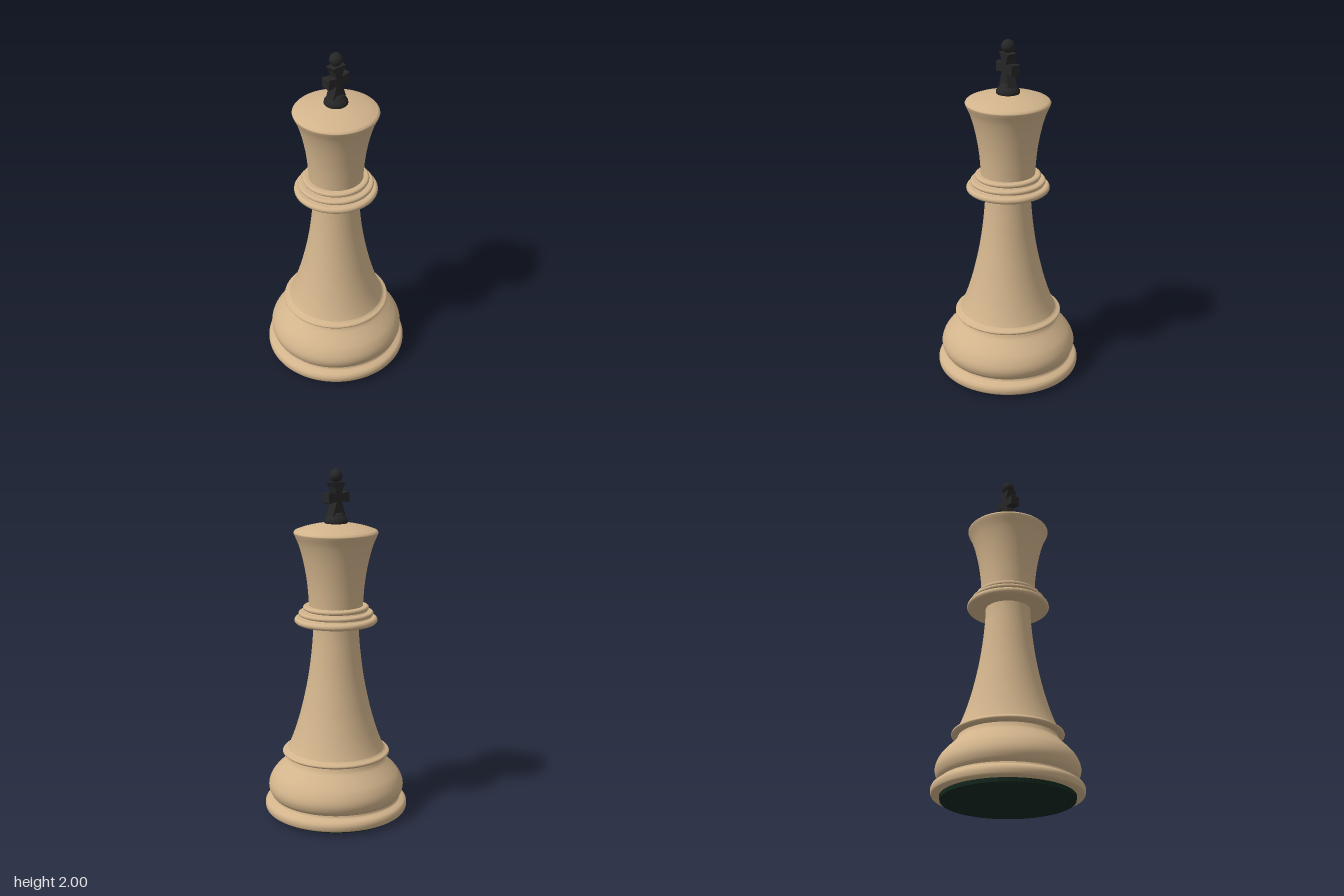
import * as THREE from 'three';

const wood = new THREE.MeshStandardMaterial({ color: 0xd2b48c });
const black = new THREE.MeshStandardMaterial({ color: 0x262626 });
const felt = new THREE.MeshStandardMaterial({ color: 0x14291f });

// Turned part: a smooth curve through [radius, height] points, bottom to top
function turned(name, points, material = wood, smooth = true) {
  let profile = points.map(([r, y]) => new THREE.Vector2(r, y));
  if (smooth) {
    profile = new THREE.SplineCurve(profile).getPoints(points.length * 5);
    profile.forEach((p) => { p.x = Math.max(p.x, 0); });
  }
  const mesh = new THREE.Mesh(new THREE.LatheGeometry(profile, 96), material);
  mesh.name = name;
  return mesh;
}

// Flat-bottomed disc with a rounded edge
function collarRing(name, radius, y, height) {
  const h = height / 2, pts = [[0.12, y]];
  for (let i = 0; i <= 10; i++) {
    const a = -Math.PI / 2 + (Math.PI * i) / 10;
    pts.push([radius - h + h * Math.cos(a), y + h + h * Math.sin(a)]);
  }
  pts.push([0.12, y + height]);
  return turned(name, pts, wood, false);
}

export function createModel() {
  const model = new THREE.Group();

  // Felt pad
  const pad = new THREE.Mesh(new THREE.CylinderGeometry(0.37, 0.365, 0.03, 96), felt);
  pad.name = 'feltPad';
  pad.position.y = 0.015;
  model.add(pad);

  // Base
  model.add(
    turned('baseUnderside', [[0, 0.022], [0.4, 0.022]], wood, false),
    turned('baseRim', [[0.4, 0.022], [0.412, 0.028], [0.417, 0.045], [0.416, 0.062], [0.407, 0.077], [0.39, 0.086], [0.375, 0.093], [0.37, 0.105]]),
    turned('baseBulge', [[0.37, 0.105], [0.386, 0.127], [0.395, 0.16], [0.39, 0.195], [0.37, 0.235], [0.34, 0.27], [0.31, 0.3], [0.287, 0.325], [0.276, 0.352]]),
    turned('baseRing', [[0.276, 0.352], [0.3, 0.357], [0.311, 0.367], [0.307, 0.377], [0.29, 0.384], [0.28, 0.392]]),
  );

  // Stem
  model.add(turned('stem', [[0.28, 0.392], [0.263, 0.43], [0.237, 0.5], [0.207, 0.6], [0.183, 0.7], [0.163, 0.8], [0.148, 0.9], [0.137, 1.0], [0.131, 1.08], [0.13, 1.14]]));

  // Stacked collar
  [[0.237, 1.133, 0.037], [0.213, 1.178, 0.025], [0.187, 1.21, 0.026]].forEach(([r, y, h], i) => {
    model.add(collarRing('collarRing' + (i + 1), r, y, h));
  });
  model.add(turned('collarCore', [[0.205, 1.165], [0.195, 1.18], [0.18, 1.2], [0.165, 1.22], [0.15, 1.235]], wood, false));

  // Crown
  model.add(
    turned('crown', [[0.153, 1.225], [0.156, 1.28], [0.163, 1.36], [0.175, 1.44], [0.192, 1.52], [0.213, 1.59], [0.235, 1.64], [0.237, 1.652], [0.228, 1.662]]),
    turned('crownDome', [[0.228, 1.662], [0.19, 1.676], [0.13, 1.691], [0.07, 1.701], [0, 1.705]]),
  );

  // Finial foot
  model.add(turned('finialFoot', [[0.06, 1.695], [0.066, 1.706], [0.065, 1.72], [0.055, 1.735], [0.045, 1.745], [0.038, 1.76], [0, 1.762]], black, false));

  // Flared cross
  const outline = [
    [-0.046, 1.745], [0.046, 1.745], [0.034, 1.78], [0.02, 1.822],
    [0.072, 1.814], [0.075, 1.818], [0.075, 1.87], [0.072, 1.874], [0.02, 1.866],
    [0.03, 1.9], [0.046, 1.928], [-0.046, 1.928], [-0.03, 1.9], [-0.02, 1.866],
    [-0.072, 1.874], [-0.075, 1.87], [-0.075, 1.818], [-0.072, 1.814], [-0.02, 1.822], [-0.034, 1.78],
  ];
  const shape = new THREE.Shape(outline.map(([x, y]) => new THREE.Vector2(x, y)));
  const cross = new THREE.Mesh(new THREE.ExtrudeGeometry(shape, { depth: 0.056, bevelEnabled: false }), black);
  cross.name = 'cross';
  cross.position.z = -0.028;
  model.add(cross);

  // Ball on top
  const ball = new THREE.Mesh(new THREE.SphereGeometry(0.037, 32, 24), black);
  ball.name = 'topBall';
  ball.position.y = 1.963;
  model.add(ball);

  return model;
}
